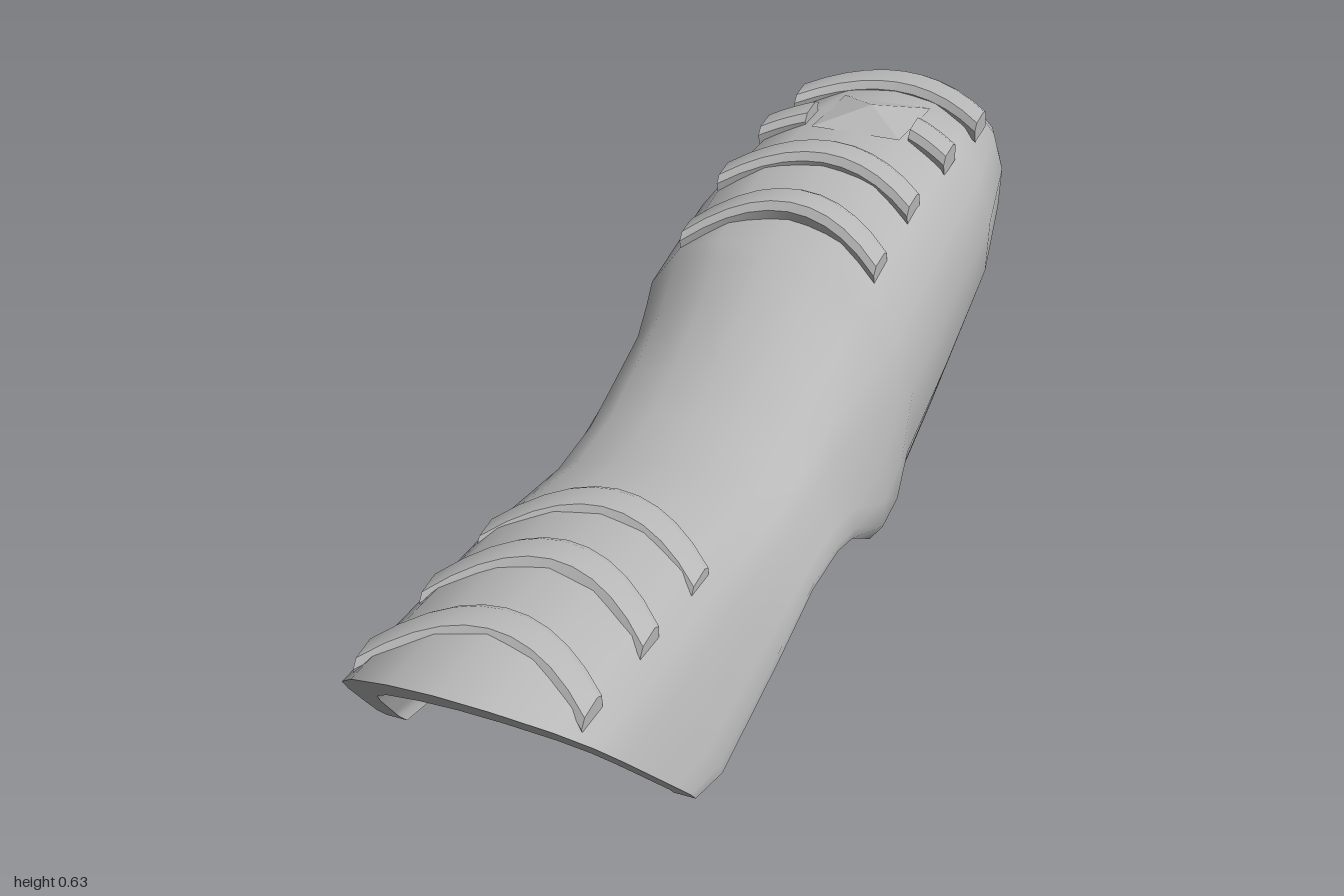
import * as THREE from 'three';
import { mergeGeometries, toCreasedNormals } from 'three/addons/utils/BufferGeometryUtils.js';

const metal = new THREE.MeshStandardMaterial({ color: 0xb8b8b8 });
metal.name = 'grey metal';

// Half cross-sections as [share of half width, share of height down from the top]
const ARCH = [[0, 0], [0.3, 0.04], [0.6, 0.15], [0.76, 0.29], [0.84, 0.45], [0.91, 0.65], [0.96, 0.8], [1, 0.92], [0.99, 1]];
const RING = [[0, 0], [0.4, 0.02], [0.7, 0.09], [0.9, 0.22], [1, 0.42], [0.98, 0.65], [0.87, 0.83], [0.55, 0.95], [0, 1]];

// Stations front to back: z, backward lean, top, bottom, half width, closure (0 arch, 1 ring)
const STATIONS = [
  [1.0, 0.28, 0.375, 0.085, 0.262, 0],
  [0.8, 0.17, 0.382, 0.07, 0.265, 0],
  [0.5, 0.1, 0.38, 0.12, 0.258, 0],
  [0.27, 0.03, 0.348, 0.16, 0.252, 0],
  [0.15, 0.02, 0.37, 0.17, 0.252, 0],
  [0.06, 0, 0.415, 0.155, 0.256, 0.02],
  [-0.08, 0, 0.49, 0.07, 0.269, 0.14],
  [-0.15, 0, 0.528, 0.025, 0.274, 0.45],
  [-0.19, 0, 0.545, 0.002, 0.259, 1],
  [-0.4, 0, 0.6, 0.09, 0.256, 1],
  [-0.65, 0, 0.618, 0.185, 0.24, 1],
  [-0.84, 0, 0.608, 0.262, 0.2, 1],
  [-0.93, 0, 0.565, 0.298, 0.165, 1],
  [-0.98, 0, 0.52, 0.34, 0.125, 1],
  [-1.0, 0, 0.46, 0.38, 0.095, 1],
];

// One row of points running from -x over the top to +x
function sectionRow([z, lean, top, bottom, w, k], inset) {
  const yTop = top - inset * 1.8, yBottom = bottom + inset * 1.2 * k, hw = w - inset;
  const half = ARCH.map(([ax, at], i) => {
    const x = ax + (RING[i][0] - ax) * k;
    const t = at + (RING[i][1] - at) * k;
    const y = yTop - t * (yTop - yBottom);
    return new THREE.Vector3(x * hw, y, z - lean * (top - y) / (top - bottom));
  });
  const mirrored = half.slice(1).reverse().map((p) => new THREE.Vector3(-p.x, p.y, p.z));
  return [...mirrored, ...half];
}

// Skin between rows of points
function grid(rows, flip = false) {
  const n = rows[0].length, index = [];
  for (let i = 0; i < rows.length - 1; i++) {
    for (let j = 0; j < n - 1; j++) {
      const a = i * n + j, b = a + 1, c = a + n, d = c + 1;
      if (flip) index.push(a, c, b, b, c, d);
      else index.push(a, b, c, b, d, c);
    }
  }
  const g = new THREE.BufferGeometry().setFromPoints(rows.flat());
  g.setIndex(index);
  return toCreasedNormals(g, 0.75);
}

// Adds a row gathered at the middle of the last one
function closeEnd(rows) {
  const last = rows[rows.length - 1];
  const c = last.reduce((s, p) => s.add(p), new THREE.Vector3()).divideScalar(last.length);
  return [...rows, last.map(() => c.clone())];
}

function part(name, geometry) {
  const mesh = new THREE.Mesh(geometry, metal);
  mesh.name = name;
  return mesh;
}

// Curved ridge: bevelled section swept across x, bowing forward and down at its ends
function ridge(zMid, zEnd, yMid, drop, x0, x1) {
  const section = [[-0.032, -0.035], [-0.032, -0.006], [-0.018, 0], [0.022, -0.008], [0.032, -0.022], [0.026, -0.045]];
  const rows = [];
  const steps = 10;
  for (let i = 0; i <= steps; i++) {
    const x = x0 + (x1 - x0) * i / steps, s = (x / 0.18) ** 2;
    const row = section.map(([dz, dy]) => new THREE.Vector3(x, yMid - drop * s + dy, zMid + (zEnd - zMid) * s + dz));
    rows.push([...row, row[0].clone()]);
  }
  return mergeGeometries([grid(rows), grid(closeEnd([rows[0]]), true), grid(closeEnd([rows[steps]]))]);
}

export function createModel() {
  const model = new THREE.Group();
  model.name = 'armourSleeve';

  // Outer shell and hollow lining
  const outer = STATIONS.map((s) => sectionRow(s, 0));
  const inner = STATIONS.slice(0, -2).map((s) => sectionRow(s, 0.036));
  model.add(part('outerShell', grid(closeEnd(outer))));
  model.add(part('innerLining', grid(closeEnd(inner), true)));

  // Rim joining shell and lining at the front and along both lower edges
  const edge = (rows, j) => rows.slice(0, 9).map((r) => r[j]);
  const end = outer[0].length - 1;
  model.add(part('rim', mergeGeometries([
    grid([inner[0], outer[0]]),
    grid([edge(inner, end), edge(outer, end)]),
    grid([edge(outer, 0), edge(inner, 0)]),
  ])));

  // Raised ridges over both knuckles
  const ridges = [
    [0.82, 0.885, 0.395, 0.058], [0.63, 0.7, 0.4, 0.062], [0.46, 0.525, 0.396, 0.06],
    [-0.28, -0.225, 0.6, 0.065], [-0.44, -0.385, 0.63, 0.05], [-0.81, -0.75, 0.634, 0.032],
  ];
  ridges.forEach((r, i) => model.add(part(`ridge${i + 1}`, ridge(...r, -0.18, 0.18))));
  for (const [name, a, b] of [['rightStub', -0.18, -0.1], ['leftStub', 0.1, 0.18]]) {
    model.add(part(name, ridge(-0.62, -0.575, 0.642, 0.04, a, b)));
  }

  // Low faceted stud between the stubs
  const stud = part('stud', toCreasedNormals(new THREE.ConeGeometry(0.12, 0.025, 4, 1).rotateY(Math.PI / 4), 0.1));
  stud.position.set(0.005, 0.622, -0.64);
  model.add(stud);

  return model;
}
